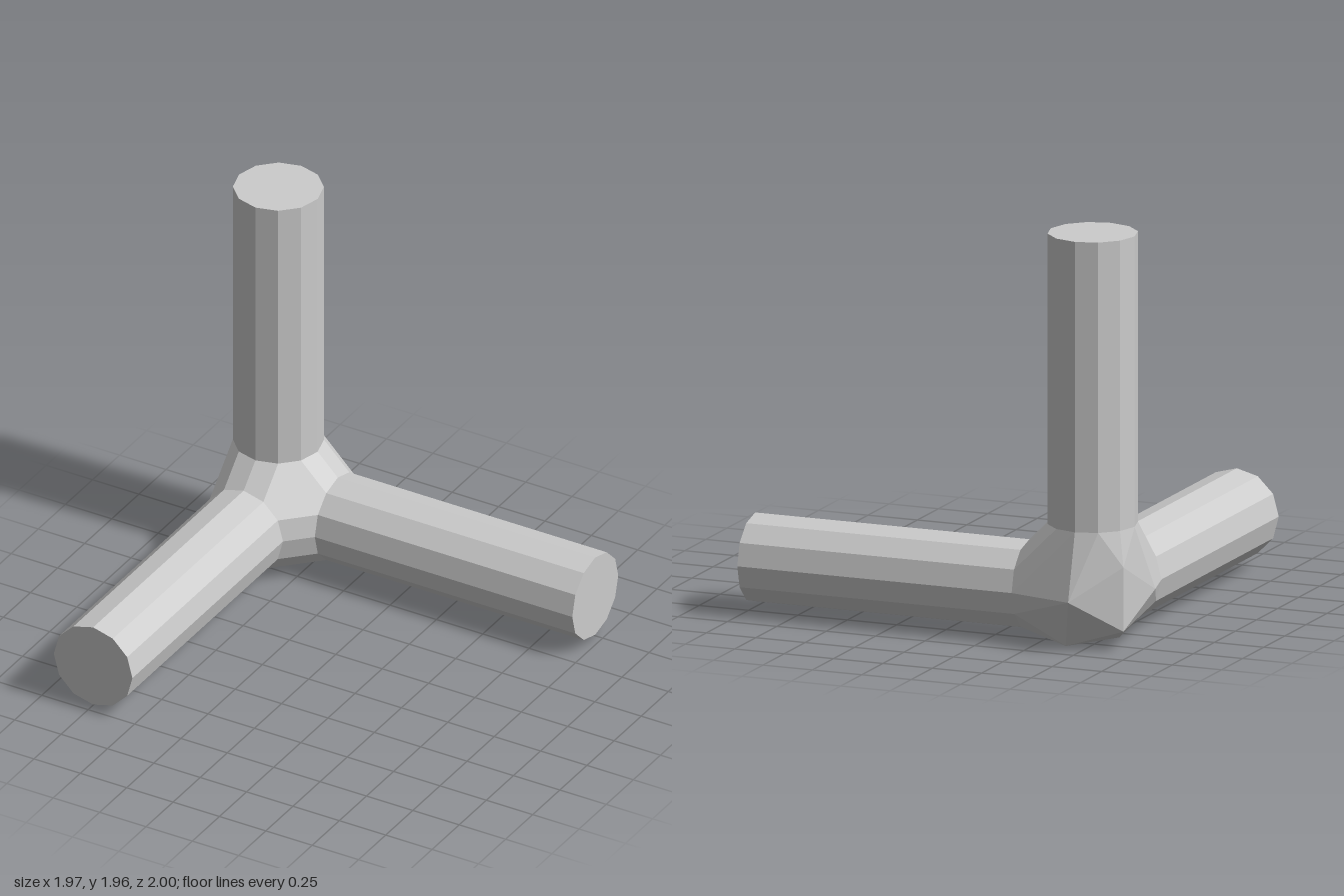
import * as THREE from 'three';
import { ConvexGeometry } from 'three/addons/geometries/ConvexGeometry.js';

const SIDES = 12;
const PIPE_RADIUS = 0.212;
const COLLAR = 0.32;      // distance from the joint centre to where a pipe starts
const REACH = 1.708;      // distance from the joint centre to a pipe end
const HUB_RADIUS = 0.292;

export function createModel() {
  const group = new THREE.Group();
  group.name = 'cornerPipeJoint';
  group.position.set(-0.7235, 0.2484, -0.708);
  const material = new THREE.MeshStandardMaterial({ color: 0xcccccc, flatShading: true });
  const up = new THREE.Vector3(0, 1, 0);
  const hubPoints = [];

  // Three pipes leaving the corner at right angles; each adds its collar ring to the hub
  const pipes = {
    uprightPipe: new THREE.Vector3(0, 1, 0),
    leftPipe: new THREE.Vector3(1, 0, 0),
    frontPipe: new THREE.Vector3(0, 0, 1),
  };
  for (const [name, dir] of Object.entries(pipes)) {
    const turn = new THREE.Quaternion().setFromUnitVectors(up, dir);
    const geometry = new THREE.CylinderGeometry(PIPE_RADIUS, PIPE_RADIUS, REACH - COLLAR, SIDES);
    geometry.translate(0, (REACH + COLLAR) / 2, 0).applyQuaternion(turn);
    const pipe = new THREE.Mesh(geometry, material);
    pipe.name = name;
    group.add(pipe);

    for (let i = 0; i < SIDES; i++) {
      const a = (i / SIDES) * Math.PI * 2;
      hubPoints.push(new THREE.Vector3(Math.sin(a) * PIPE_RADIUS, COLLAR, Math.cos(a) * PIPE_RADIUS)
        .applyQuaternion(turn));
    }
  }

  // Faceted ball at the corner: an icosahedron with its poles along z
  const ringZ = HUB_RADIUS / Math.sqrt(5);
  hubPoints.push(new THREE.Vector3(0, 0, -HUB_RADIUS));
  for (let i = 0; i < 5; i++) {
    const a = (i / 5) * Math.PI * 2;
    const x = Math.cos(a) * ringZ * 2, y = Math.sin(a) * ringZ * 2;
    hubPoints.push(new THREE.Vector3(x, y, -ringZ), new THREE.Vector3(-x, -y, ringZ));
  }

  // Hub skin stretched over the ball and the three collars
  const hub = new THREE.Mesh(new ConvexGeometry(hubPoints), material);
  hub.name = 'cornerHub';
  group.add(hub);

  const model = new THREE.Group();
  model.name = 'model';
  model.add(group);
  return model;
}
